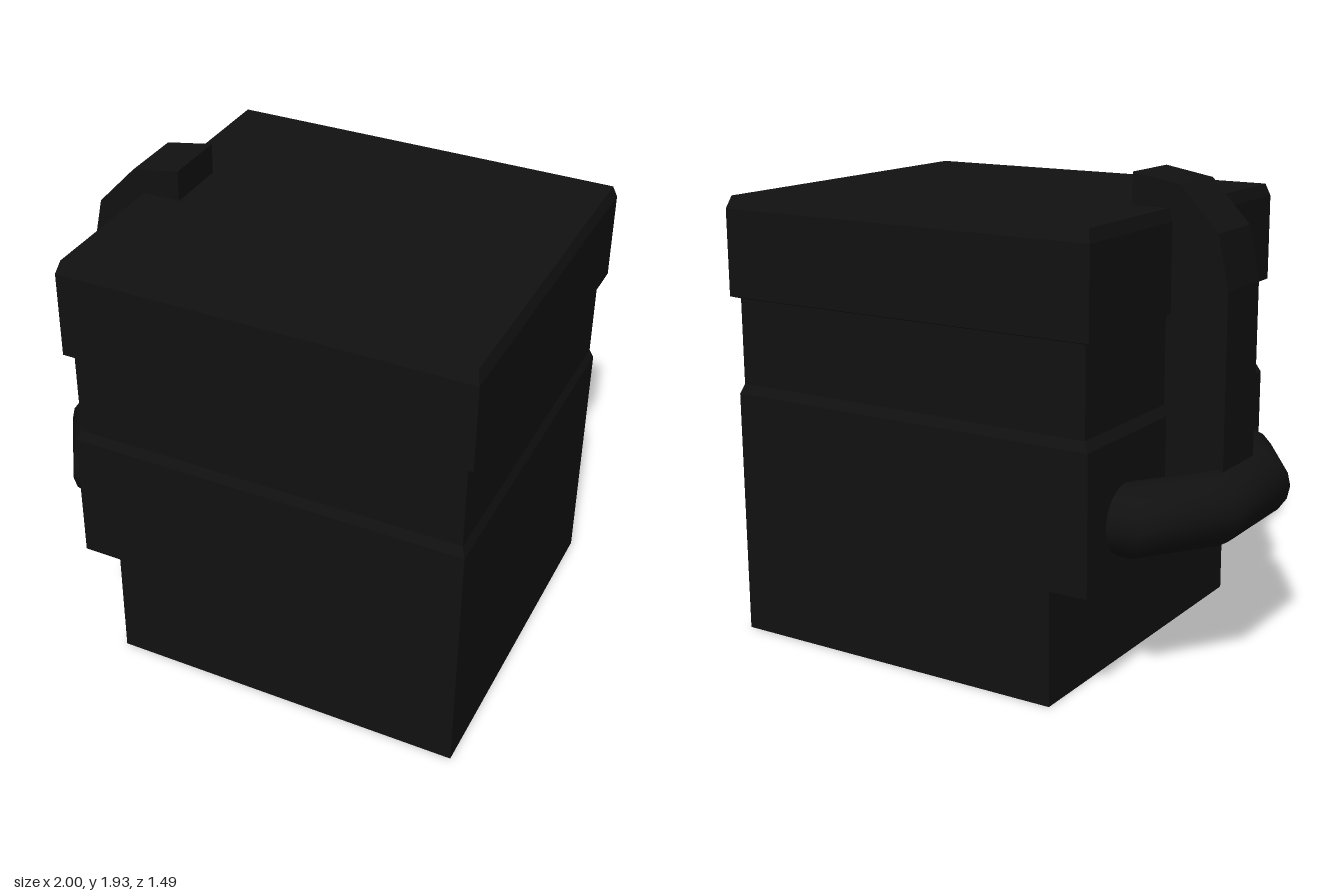
import * as THREE from 'three';

// Skin a list of equal-length rings of points with quads.
function loft(rings, closeTop) {
  const n = rings[0].length;
  const position = rings.flat(2);
  const index = [];
  for (let r = 0; r < rings.length - 1; r++) {
    for (let i = 0; i < n; i++) {
      const a = r * n + i, b = r * n + (i + 1) % n;
      index.push(a, b, b + n, a, b + n, a + n);
    }
  }
  if (closeTop) {
    const t = (rings.length - 1) * n;
    for (let i = 1; i < n - 1; i++) index.push(t, t + i, t + i + 1);
  }
  const geometry = new THREE.BufferGeometry();
  geometry.setAttribute('position', new THREE.Float32BufferAttribute(position, 3));
  geometry.setIndex(index);
  geometry.computeVertexNormals();
  return geometry;
}

export function createModel() {
  const group = new THREE.Group();
  const flat = new THREE.MeshStandardMaterial({ color: 0x111111, flatShading: true, side: THREE.DoubleSide });
  const smooth = new THREE.MeshStandardMaterial({ color: 0x111111, side: THREE.DoubleSide });

  const add = (name, geometry, material) => {
    const mesh = new THREE.Mesh(geometry, material);
    mesh.name = name;
    group.add(mesh);
  };

  // Housing: hollow shell, open underneath, stepped on one side, with neck and lid.
  // Each level is [y, xMin, xMax, half depth].
  const levels = [
    [0, -0.48, 0.985, 0.73],
    [0.46, -0.48, 0.985, 0.73],
    [0.46, -0.64, 0.985, 0.73],
    [1.01, -0.64, 0.985, 0.73],
    [1.05, -0.62, 0.97, 0.715],
    [1.4, -0.62, 0.97, 0.715],
    [1.41, -0.65, 1.0, 0.745],
    [1.76, -0.65, 1.0, 0.745],
    [1.81, -0.635, 0.985, 0.725],
  ];
  const housing = levels.map(([y, x0, x1, z]) => [[x0, y, z], [x1, y, z], [x1, y, -z], [x0, y, -z]]);
  add('housing', loft(housing, true), flat);

  // Side pipe: round section, given by its outer and inner edge [x, z] at each bend.
  const half = [
    [[-0.45, 0.595], [-0.45, 0.315]],
    [[-0.77, 0.595], [-0.56, 0.315]],
    [[-1.0, 0.245], [-0.72, 0.12]],
  ];
  const mirrored = half.map((s) => s.map(([x, z]) => [x, -z])).reverse();
  const sides = 16, radius = 0.14, pipeY = 0.69;
  const pipe = [...half, ...mirrored].map(([outer, inner]) =>
    Array.from({ length: sides }, (_, i) => {
      const a = (i / sides) * Math.PI * 2;
      const t = (1 - Math.cos(a)) / 2;
      return [
        outer[0] + (inner[0] - outer[0]) * t,
        pipeY + radius * Math.sin(a),
        outer[1] + (inner[1] - outer[1]) * t,
      ];
    }));
  add('sidePipe', loft(pipe.reverse(), false), smooth);

  // Upright duct rising from the pipe and bending over the lid.
  const outline = [
    [-0.63, 0.69], [-0.63, 1.8], [-0.48, 1.8], [-0.48, 1.935],
    [-0.68, 1.9], [-0.84, 1.73], [-0.885, 1.52], [-0.885, 0.69],
  ];
  const shape = new THREE.Shape(outline.map(([x, y]) => new THREE.Vector2(x, y)));
  const duct = new THREE.ExtrudeGeometry(shape, { depth: 0.27, bevelEnabled: false });
  duct.translate(0, 0, -0.135);
  add('uprightDuct', duct, flat);

  return group;
}
